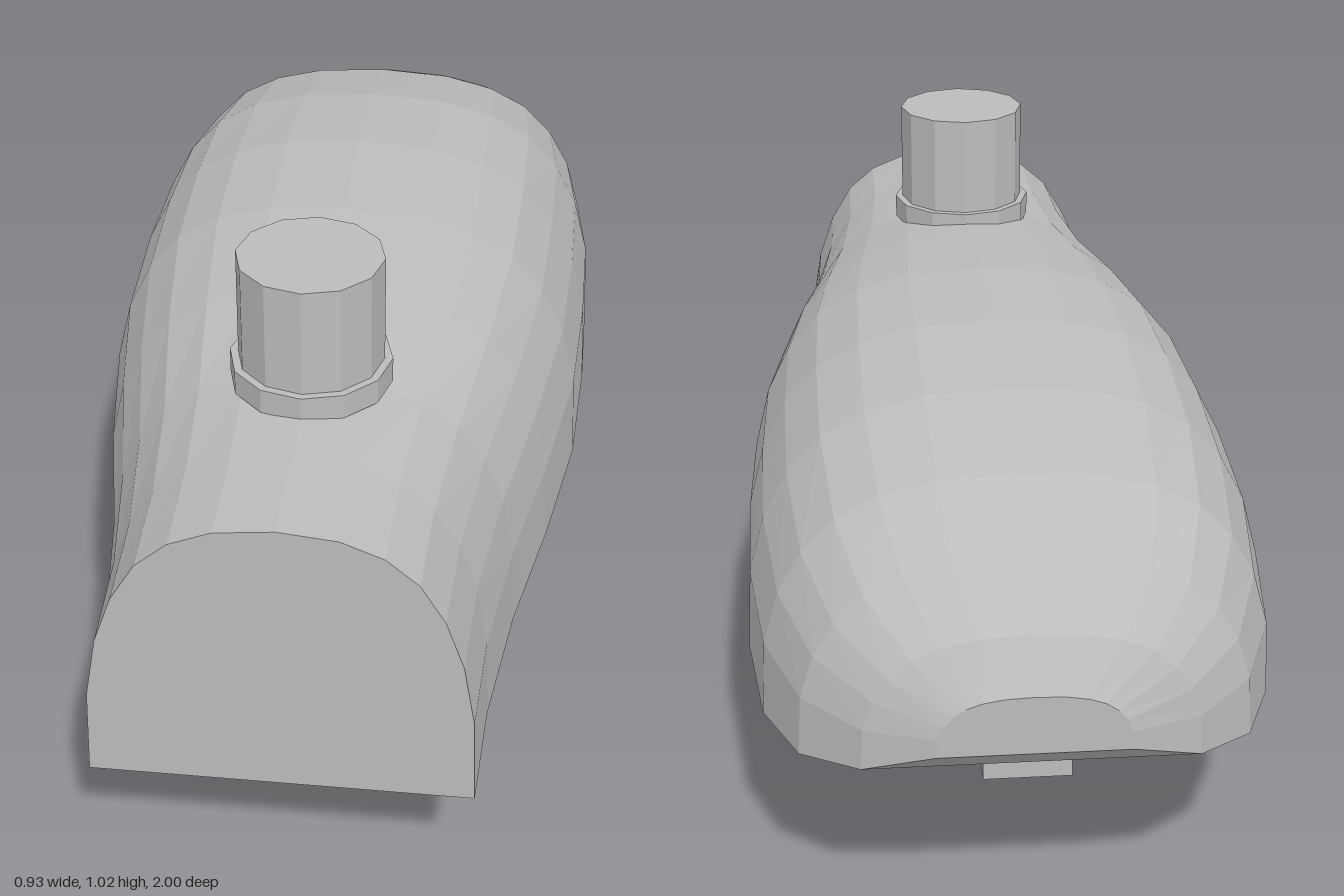
import * as THREE from 'three';

const grey = new THREE.MeshStandardMaterial({ color: 0xbcbcbc, flatShading: true });
grey.name = 'grey';

function part(name, geometry, x = 0, y = 0, z = 0) {
  const flat = geometry.index ? geometry.toNonIndexed() : geometry;
  flat.computeVertexNormals();
  const mesh = new THREE.Mesh(flat, grey);
  mesh.name = name;
  mesh.position.set(x, y, z);
  return mesh;
}

// Housing: an arched, flat-bottomed section lofted from front to back
function housingGeometry() {
  // z, half width, bottom, top
  const stations = [
    [1, 0.325, 0.26, 0.787], [0.8, 0.333, 0.27, 0.787], [0.57, 0.365, 0.295, 0.792],
    [0.33, 0.415, 0.315, 0.818], [0.07, 0.455, 0.32, 0.841], [-0.2, 0.466, 0.32, 0.841],
    [-0.46, 0.465, 0.32, 0.815], [-0.69, 0.44, 0.32, 0.76], [-0.85, 0.38, 0.335, 0.682],
    [-0.95, 0.28, 0.363, 0.6], [-1, 0.16, 0.41, 0.515],
  ];
  // half arch as fractions of half width and height
  const half = [[1, 0], [0.985, 0.31], [0.925, 0.53], [0.83, 0.7], [0.7, 0.835], [0.53, 0.925], [0.31, 0.98]];
  const arch = [...half, [0, 1], ...half.map(([u, v]) => [-u, v]).reverse()];
  const n = arch.length;
  const positions = [];
  const index = [];
  for (const [z, w, bottom, top] of stations) {
    for (const [u, v] of arch) positions.push(u * w, bottom + v * (top - bottom), z);
  }
  for (let i = 0; i < stations.length - 1; i++) {
    for (let j = 0; j < n; j++) {
      const a = i * n + j, b = i * n + (j + 1) % n;
      index.push(a, a + n, b, b, a + n, b + n);
    }
  }
  // front and back caps
  const last = (stations.length - 1) * n;
  for (let j = 1; j < n - 1; j++) {
    index.push(0, j, j + 1, last, last + j + 1, last + j);
  }
  const geometry = new THREE.BufferGeometry();
  geometry.setAttribute('position', new THREE.Float32BufferAttribute(positions, 3));
  geometry.setIndex(index);
  return geometry;
}

export function createModel() {
  const model = new THREE.Group();
  model.name = 'streetLampHead';

  model.add(part('housing', housingGeometry()));

  // Bowl under the housing
  const bowl = new THREE.SphereGeometry(1, 16, 6, 0, Math.PI * 2, Math.PI / 2, Math.PI / 2);
  bowl.scale(0.37, 0.32, 0.48);
  model.add(part('lampBowl', bowl, 0, 0.32, -0.19));

  // Mounting post with its collar
  model.add(part('collar', new THREE.CylinderGeometry(0.14, 0.14, 0.045, 12), 0, 0.807, 0.555));
  model.add(part('post', new THREE.CylinderGeometry(0.126, 0.126, 0.235, 12), 0, 0.907, 0.555));

  // Latch below the tail
  model.add(part('latch', new THREE.BoxGeometry(0.15, 0.07, 0.11), 0, 0.322, -0.825));

  return model;
}
